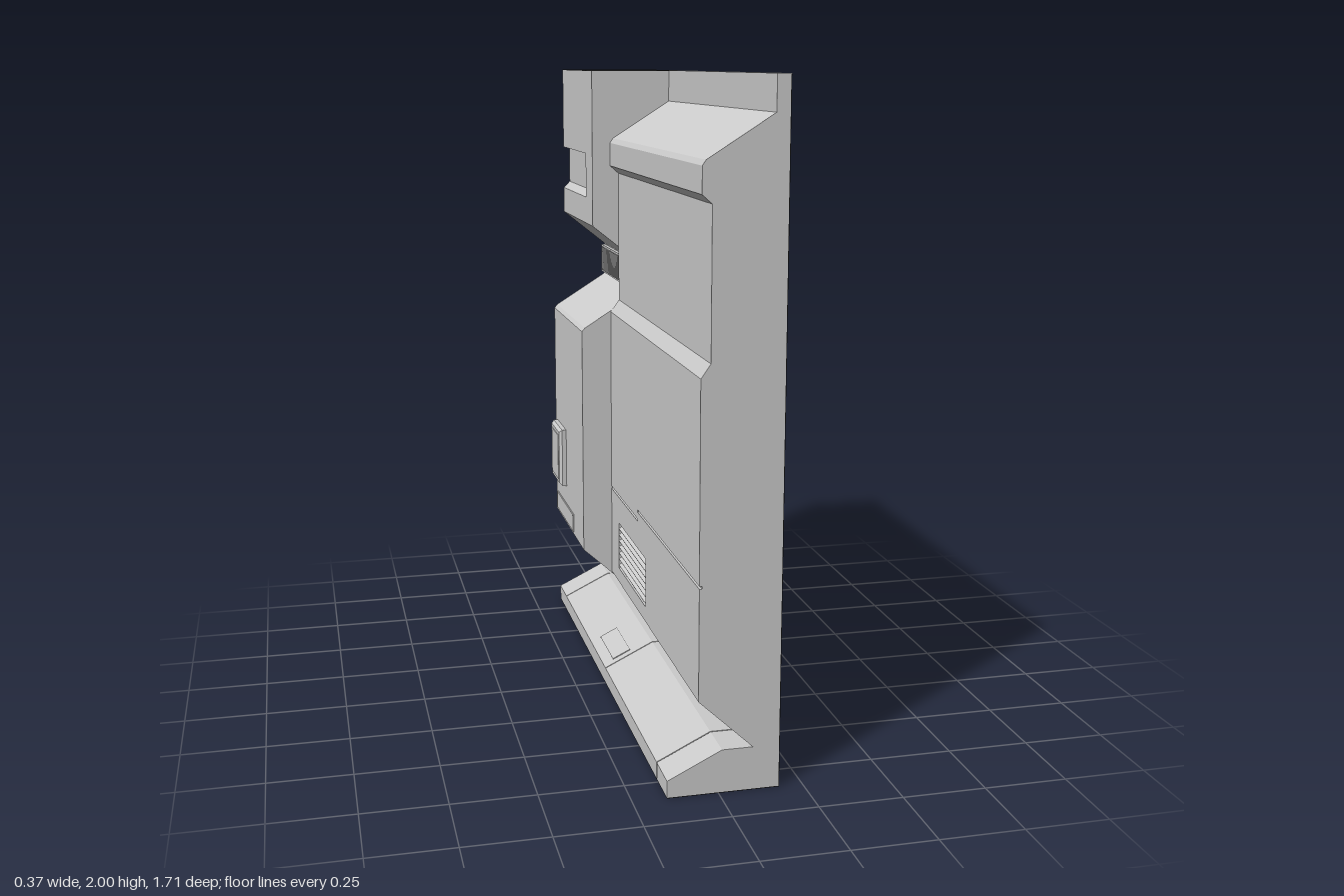
import * as THREE from 'three';

const grey = new THREE.MeshStandardMaterial({ color: 0xcccccc });
const dark = new THREE.MeshStandardMaterial({ color: 0x232323 });
const BACK = 0.178, END = 0.855, COL = -0.315; // back plane, half length, column edge

export function createModel() {
  const root = new THREE.Group();
  root.name = 'wallPanel';

  const add = (parent, name, geometry, material = grey) => {
    const mesh = new THREE.Mesh(geometry, material);
    mesh.name = name;
    parent.add(mesh);
    return mesh;
  };
  const group = (name) => {
    const g = new THREE.Group();
    g.name = name;
    root.add(g);
    return g;
  };
  // Cross-section in x/y swept from z0 to z1
  const sweep = (points, z0, z1) => {
    const shape = new THREE.Shape(points.map(([x, y]) => new THREE.Vector2(x, y)));
    return new THREE.ExtrudeGeometry(shape, { depth: z1 - z0, bevelEnabled: false }).translate(0, 0, z0);
  };
  const box = (x0, x1, y0, y1, z0, z1) => new THREE.BoxGeometry(x1 - x0, y1 - y0, z1 - z0)
    .translate((x0 + x1) / 2, (y0 + y1) / 2, (z0 + z1) / 2);
  // Chamfered plate standing out from a face toward -x
  const plate = (x, depth, y0, y1, z0, z1, chamfer) => {
    const c = chamfer;
    const s = new THREE.Shape();
    s.moveTo(z0 + c, y0 + c);
    s.lineTo(z1 - c, y0 + c);
    s.lineTo(z1 - c, y1 - c);
    s.lineTo(z0 + c, y1 - c);
    s.closePath();
    return new THREE.ExtrudeGeometry(s, { depth: depth - c, bevelThickness: c, bevelSize: c, bevelSegments: 1 })
      .rotateY(-Math.PI / 2).translate(x, 0, 0);
  };
  // Square notch in a profile running downward
  const notch = (x, depth, yTop, yBottom) => [[x, yTop], [x + depth, yTop], [x + depth, yBottom], [x, yBottom]];

  // Main wall, in lengths with a stepped seam and a vent opening
  const wall = group('wall');
  const wallProfile = (seam, vent) => [
    [BACK, 2], [0.14, 2], [0.14, 1.9], [-0.05, 1.78], [-0.06, 1.765], [-0.06, 1.69], [-0.032, 1.665],
    [-0.032, 1.24], [-0.06, 1.2],
    ...notch(-0.06, 0.008, seam + 0.004, seam - 0.004),
    ...(vent ? notch(-0.06, 0.03, 0.49, 0.33) : []),
    [-0.06, 0.28], [0.1, 0.13], [BACK, 0.13],
  ];
  [[COL, -0.2, 0.585, false], [-0.2, 0.09, 0.585, true], [0.09, 0.2, 0.615, true], [0.2, END, 0.615, false]]
    .forEach(([z0, z1, seam, vent]) => add(wall, 'wallSection', sweep(wallProfile(seam, vent), z0, z1)));

  // Sloping slats in the low vent
  const lowVent = group('lowVent');
  for (let i = 0; i < 7; i++) {
    const slat = add(lowVent, 'slat', new THREE.BoxGeometry(0.03, 0.006, 0.4));
    slat.position.set(-0.045, 0.345 + i * 0.0215, 0);
    slat.rotation.z = 0.5;
  }

  // End column with a hand recess near the top
  const column = group('column');
  const columnProfile = (recess) => [
    [BACK, 1.998], [-0.12, 1.998],
    ...(recess ? [[-0.12, 1.725], [-0.098, 1.725], [-0.098, 1.6], [-0.12, 1.578]] : []),
    [-0.12, 1.49], [0.03, 1.37], [0.03, 1.26], [-0.15, 1.147], [-0.16, 1.135],
    [-0.16, 0.365], [0.1, 0.13], [BACK, 0.13],
  ];
  add(column, 'columnRecessedSide', sweep(columnProfile(true), -END, -0.43));
  add(column, 'columnInnerSide', sweep(columnProfile(false), -0.43, COL));
  add(column, 'columnCap', box(-0.12, 0.18, 1.998, 2, -END, COL), dark);

  // Fins and rails of the vent under the column head
  const highVent = group('highVent');
  for (let i = 0; i < 30; i++) {
    const z = -0.835 + i * 0.0172;
    add(highVent, 'fin', box(0.014, 0.031, 1.275, 1.36, z, z + 0.006));
  }
  [1.268, 1.315, 1.36].forEach((y) => add(highVent, 'rail', box(0.018, 0.031, y, y + 0.007, -END, COL)));

  // Control box and access plates on the lower column
  add(column, 'controlBox', plate(-0.16, 0.025, 0.508, 0.718, -0.815, -0.64, 0.01));
  add(column, 'controlBoxLid', plate(-0.185, 0.002, 0.53, 0.696, -0.795, -0.66, 0.001));
  add(column, 'accessPlate', plate(-0.16, 0.004, 0.375, 0.44, -0.82, -0.5, 0.002));

  // Sloped kerb in lengths with narrow seams, over a slightly smaller core
  const base = group('base');
  const kerb = (inset) => [
    [BACK, 0.13 - inset], [0.01, 0.13 - inset], [-0.15 + inset, 0.052 - inset / 2],
    [-0.15 + inset, 0.002], [BACK, 0.002],
  ];
  add(base, 'kerbCore', sweep(kerb(0.005), -END + 0.01, END - 0.01));
  const cuts = [-END, -0.73, 0, 0.73, END];
  for (let i = 0; i < 4; i++) {
    const z0 = cuts[i] + (i > 0 ? 0.002 : 0), z1 = cuts[i + 1] - (i < 3 ? 0.002 : 0);
    add(base, 'kerbSection', sweep(kerb(0), z0, z1));
  }
  const hatch = add(base, 'kerbHatch', new THREE.BoxGeometry(0.065, 0.006, 0.21));
  hatch.position.set(-0.088, 0.082, -0.135);
  hatch.rotation.z = Math.atan2(0.078, 0.16);
  add(base, 'underside', box(-0.15, 0.18, 0, 0.002, -END, END), dark);

  // Dark back, following the taller column and wall
  add(root, 'backPlate', box(BACK, 0.18, 0.002, 1.998, -END, END), dark);
  add(root, 'wallTopEdge', box(BACK, 0.18, 1.998, 2, COL, END));

  return root;
}
